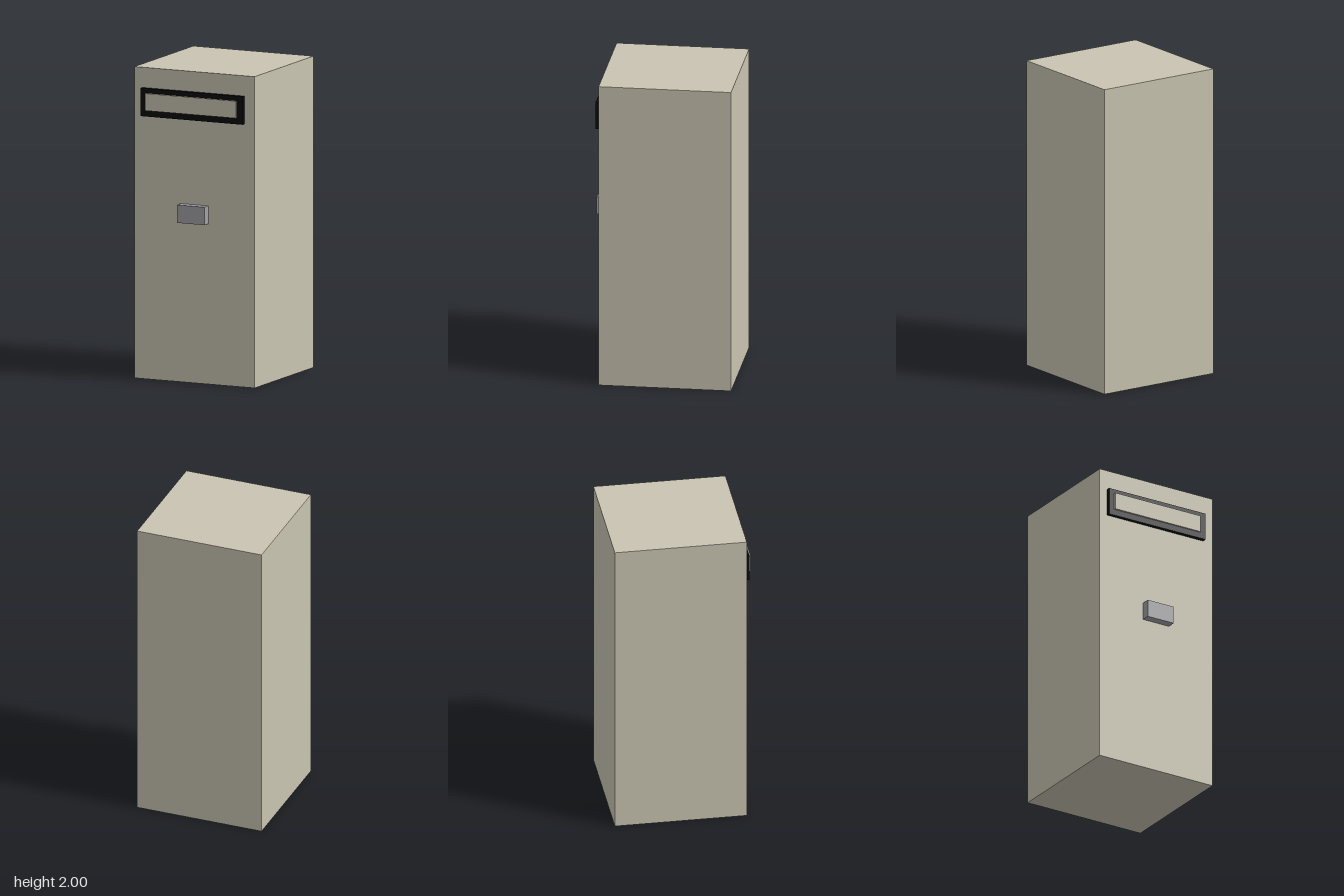
import * as THREE from 'three';

export function createModel() {
  const model = new THREE.Group();
  model.name = 'cabinet';

  const material = (name, color) => {
    const m = new THREE.MeshStandardMaterial({ color });
    m.name = name;
    return m;
  };
  const beige = material('beige', 0xc9c4b1);
  const black = material('black', 0x0a0a0a);
  const grey = material('grey', 0xa1a1a5);

  // Box given by its [min, max] extents along each axis
  const addBox = (name, mat, [x0, x1], [y0, y1], [z0, z1], turn = 0) => {
    const mesh = new THREE.Mesh(new THREE.BoxGeometry(x1 - x0, y1 - y0, z1 - z0), mat);
    mesh.name = name;
    mesh.position.set((x0 + x1) / 2, (y0 + y1) / 2, (z0 + z1) / 2);
    mesh.rotation.y = turn;
    model.add(mesh);
  };

  // The body and slot flap sit very slightly turned
  const turn = 0.006;
  addBox('body', beige, [-0.424, 0.423], [0, 2], [-0.45, 0.396], turn);
  addBox('slotFrame', black, [-0.365, 0.355], [1.69, 1.87], [0.385, 0.423]);
  addBox('slotFlap', beige, [-0.329, 0.312], [1.73, 1.84], [0.41, 0.435], turn);
  addBox('handle', grey, [-0.095, 0.099], [1.03, 1.145], [0.385, 0.452]);

  return model;
}
